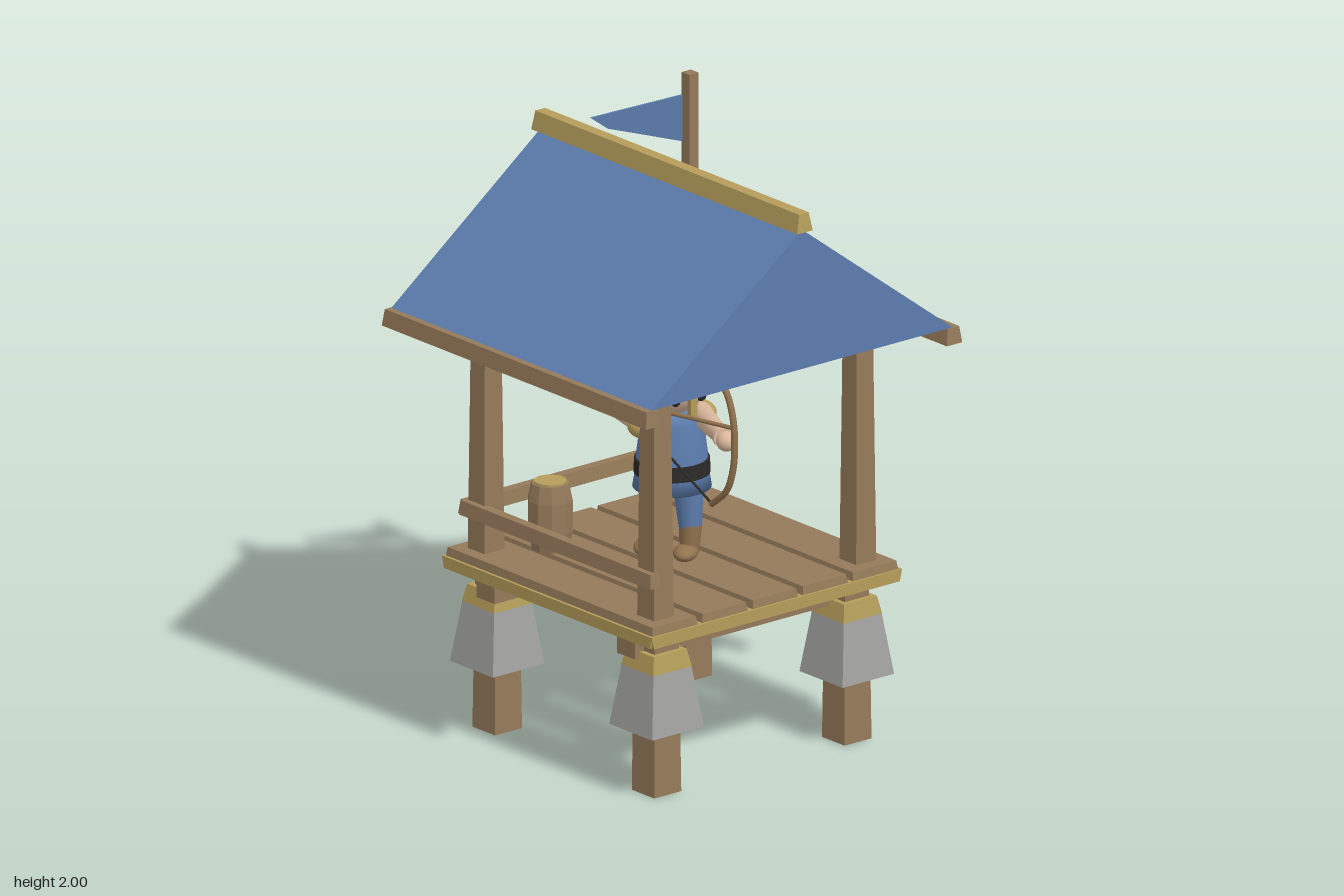
import * as THREE from 'three';

const mat = (name, color, side = THREE.FrontSide) => {
  const m = new THREE.MeshStandardMaterial({ color, side });
  m.name = name;
  return m;
};

export function createModel() {
  const wood = mat('wood', 0x957a5a);
  const leather = mat('leather', 0x92734e);
  const straw = mat('straw', 0xb59d5a);
  const blue = mat('blue cloth', 0x5c7dae, THREE.DoubleSide);
  const stone = mat('stone', 0xa2a2a0);
  const black = mat('black', 0x2b2a29);
  const skin = mat('skin', 0xdcb89e);

  const model = new THREE.Group();
  model.name = 'watchtower';
  const V = (x, y, z) => new THREE.Vector3(x, y, z);

  function add(parent, name, geo, material, x = 0, y = 0, z = 0) {
    const m = new THREE.Mesh(geo, material);
    m.name = name;
    m.position.set(x, y, z);
    parent.add(m);
    return m;
  }
  // Box from y0 to y1 whose top is inset by a fixed amount on each side
  function block(name, material, x, z, y0, y1, w, d, inX = 0, inZ = inX) {
    const g = new THREE.BoxGeometry(w, y1 - y0, d).toNonIndexed();
    const p = g.attributes.position;
    for (let i = 0; i < p.count; i++) {
      if (p.getY(i) > 0) {
        p.setX(i, p.getX(i) - Math.sign(p.getX(i)) * inX);
        p.setZ(i, p.getZ(i) - Math.sign(p.getZ(i)) * inZ);
      }
    }
    g.computeVertexNormals();
    return add(model, name, g, material, x, (y0 + y1) / 2, z);
  }
  // Round rod between two points
  function rod(parent, name, material, a, b, rA, rB = rA, sides = 12) {
    const m = add(parent, name, new THREE.CylinderGeometry(rB, rA, a.distanceTo(b), sides), material);
    m.position.copy(a).lerp(b, 0.5);
    m.quaternion.setFromUnitVectors(V(0, 1, 0), b.clone().sub(a).normalize());
    return m;
  }
  function ball(parent, name, material, p, rx, ry = rx, rz = rx) {
    const m = add(parent, name, new THREE.SphereGeometry(1, 20, 14), material, p.x, p.y, p.z);
    m.scale.set(rx, ry, rz);
    return m;
  }

  // Legs, stone footings, posts and roof brackets at each corner
  for (const sx of [-1, 1]) for (const sz of [-1, 1]) {
    const x = sx * 0.395, z = sz * 0.395;
    block('leg', wood, x, z, 0, 0.54, 0.112, 0.112, 0.006);
    block('footing', stone, x, z, 0.22, 0.423, 0.214, 0.214, 0.028);
    block('footingCap', straw, x, z, 0.423, 0.482, 0.16, 0.16, 0.012);
    block('post', wood, sx * 0.42, sz * 0.42, 0.55, 1.41, 0.084, 0.084, 0.008);
    block('roofBracket', wood, sx * 0.42, sz * 0.335, 1.35, 1.4, 0.06, 0.29);
  }

  // Floor beams, rim and planks
  for (const s of [-1, 1]) {
    block('floorBeam', wood, 0, s * 0.348, 0.46, 0.536, 0.965, 0.09);
    block('deckRimX', straw, 0, s * 0.495, 0.535, 0.575, 1.02, 0.05, -0.01, 0);
    block('deckRimZ', straw, s * 0.495, 0, 0.535, 0.575, 0.05, 1.02, 0, -0.01);
  }
  for (let i = 0; i < 5; i++) {
    block('plank', wood, (i - 2) * 0.208, 0, 0.56, 0.603, 0.193, 1.03, 0.007);
  }

  // Railings on the back and the right-hand side
  block('backRail', wood, 0, -0.465, 0.718, 0.765, 0.96, 0.045, 0.006);
  block('sideRail', wood, -0.465, 0, 0.718, 0.765, 0.045, 0.95, 0.006);

  // Hollow gabled roof: two slopes and two gables, open underneath
  const ridge = 1.87, eave = 1.4, hw = 0.625, hd = 0.645;
  const [A, B, C] = [[-hw, eave, hd], [hw, eave, hd], [0, ridge, hd]];
  const [D, E, F] = [A, B, C].map(([x, y]) => [x, y, -hd]);
  const roofGeo = new THREE.BufferGeometry();
  roofGeo.setAttribute('position', new THREE.Float32BufferAttribute(
    [A, B, C, E, D, F, B, E, F, B, F, C, D, A, C, D, C, F].flat(), 3));
  roofGeo.computeVertexNormals();
  add(model, 'roof', roofGeo, blue);
  block('ridgeCap', straw, 0, 0, 1.865, 1.927, 0.064, 1.32, 0.012, 0.006);
  for (const s of [-1, 1]) block('eaveBeam', wood, s * 0.625, 0, 1.345, 1.4, 0.064, 1.31, 0.008, 0.006);

  // Flagpole and pennant
  block('flagpole', wood, 0.46, -0.46, 0.38, 2, 0.038, 0.038);
  const pennant = new THREE.Shape([[0, 1.925], [0.31, 1.87], [0.255, 1.83], [0, 1.765]]
    .map(([x, y]) => new THREE.Vector2(x, y)));
  const flag = add(model, 'flag', new THREE.ExtrudeGeometry(pennant, { depth: 0.009, bevelEnabled: false }), blue, 0.45, 0, -0.47);
  flag.rotation.y = Math.PI - 0.46;

  // Barrel with faceted staves
  const profile = [[0, 0], [0.062, 0], [0.074, 0.06], [0.074, 0.165], [0.062, 0.222], [0, 0.222]];
  const barrelGeo = new THREE.LatheGeometry(profile.map(([r, y]) => new THREE.Vector2(r, y)), 10).toNonIndexed();
  barrelGeo.computeVertexNormals();
  add(model, 'barrel', barrelGeo, wood, -0.275, 0.612, -0.275);
  add(model, 'barrelLid', new THREE.CylinderGeometry(0.054, 0.054, 0.006, 10), straw, -0.275, 0.837, -0.275);

  // Archer: legs, boots and feet, with the feet turned out
  const archer = new THREE.Group();
  archer.name = 'archer';
  model.add(archer);
  for (const [x, z] of [[0.028, 0.058], [-0.032, -0.066]]) {
    rod(archer, 'trouserLeg', blue, V(x, 0.7, z), V(x * 0.9, 0.87, z * 0.8), 0.037, 0.052, 16);
    rod(archer, 'boot', leather, V(x - 0.004, 0.62, z), V(x, 0.715, z), 0.031, 0.038, 16);
    ball(archer, 'foot', leather, V(x - 0.03, 0.628, z + 0.012), 0.064, 0.026, 0.04).rotation.y = 0.7;
  }

  // Tunic and belt
  const tunic = [[0, 0.835], [0.127, 0.835], [0.118, 0.89], [0.114, 0.95], [0.1, 1.06], [0.086, 1.09], [0, 1.1]];
  add(archer, 'tunic', new THREE.LatheGeometry(tunic.map(([r, y]) => new THREE.Vector2(r, y)), 28), blue);
  add(archer, 'belt', new THREE.CylinderGeometry(0.121, 0.123, 0.05, 28), black, 0, 0.908, 0);

  // Head, helmet and face
  rod(archer, 'neck', skin, V(0, 1.06, 0), V(0, 1.12, 0), 0.05, 0.045, 16);
  ball(archer, 'head', skin, V(0, 1.185, 0), 0.11, 0.103, 0.11);
  add(archer, 'helmet', new THREE.SphereGeometry(0.116, 24, 10, 0, Math.PI * 2, 0, Math.PI / 2), straw, 0, 1.2, 0);
  add(archer, 'helmetBand', new THREE.CylinderGeometry(0.136, 0.136, 0.04, 28), black, 0, 1.195, 0);
  const face = new THREE.Group();
  face.name = 'face';
  face.rotation.y = -0.08;
  archer.add(face);
  add(face, 'noseGuard', new THREE.BoxGeometry(0.024, 0.085, 0.02), straw, 0, 1.14, 0.112);
  for (const s of [-1, 1]) ball(face, 'eye', black, V(s * 0.05, 1.155, 0.092), 0.018, 0.02, 0.012);

  // Shoulder pads and arms: left arm holds the bow, right arm draws
  for (const s of [-1, 1]) ball(archer, 'shoulderPad', straw, V(s * 0.122, 1.058, 0), 0.045, 0.036, 0.054);
  const grip = V(-0.055, 1.085, 0.335), nock = V(-0.165, 1.14, -0.06);
  const elbow = V(-0.165, 1.125, -0.14);
  rod(archer, 'bowArm', skin, V(0.1, 1.06, 0.02), grip, 0.04, 0.025, 14);
  rod(archer, 'bowCuff', skin, V(-0.035, 1.084, 0.29), V(-0.043, 1.085, 0.308), 0.033, 0.033, 14);
  ball(archer, 'bowHand', skin, grip, 0.033);
  rod(archer, 'drawUpperArm', skin, V(-0.11, 1.06, 0), elbow, 0.036, 0.03, 14);
  ball(archer, 'drawElbow', skin, elbow, 0.032);
  rod(archer, 'drawForearm', skin, elbow, V(-0.165, 1.14, -0.03), 0.03, 0.024, 14);
  ball(archer, 'drawHand', skin, V(-0.165, 1.14, -0.03), 0.031);

  // Bow, string and nocked arrow
  const bx = -0.058;
  const bowPath = new THREE.CatmullRomCurve3([V(bx, 1.315, 0.265), V(bx, 1.25, 0.34), V(bx, 1.17, 0.372),
    V(bx, 1.085, 0.38), V(bx, 1.0, 0.372), V(bx, 0.92, 0.34), V(bx, 0.855, 0.265)]);
  add(archer, 'bow', new THREE.TubeGeometry(bowPath, 32, 0.011, 8), leather);
  for (const y of [1.313, 0.857]) rod(archer, 'bowString', black, V(bx, y, 0.267), nock, 0.004, 0.004, 6);
  rod(archer, 'arrow', leather, nock, V(bx, 1.14, 0.375), 0.007, 0.007, 8);

  // Quiver on the back with spare arrows
  const base = V(0.108, 0.935, -0.122), mouth = V(0.152, 1.132, -0.172);
  rod(archer, 'quiver', leather, base, mouth, 0.042, 0.05, 16);
  for (let i = -1; i <= 1; i++) {
    const dx = i * 0.017, dz = i * 0.02;
    rod(archer, 'spareArrow', wood, V(0.15 + dx, 1.11, -0.17 + dz),
      V(0.172 + dx, 1.25, -0.192 + dz), 0.009, 0.009, 6);
  }
  return model;
}
